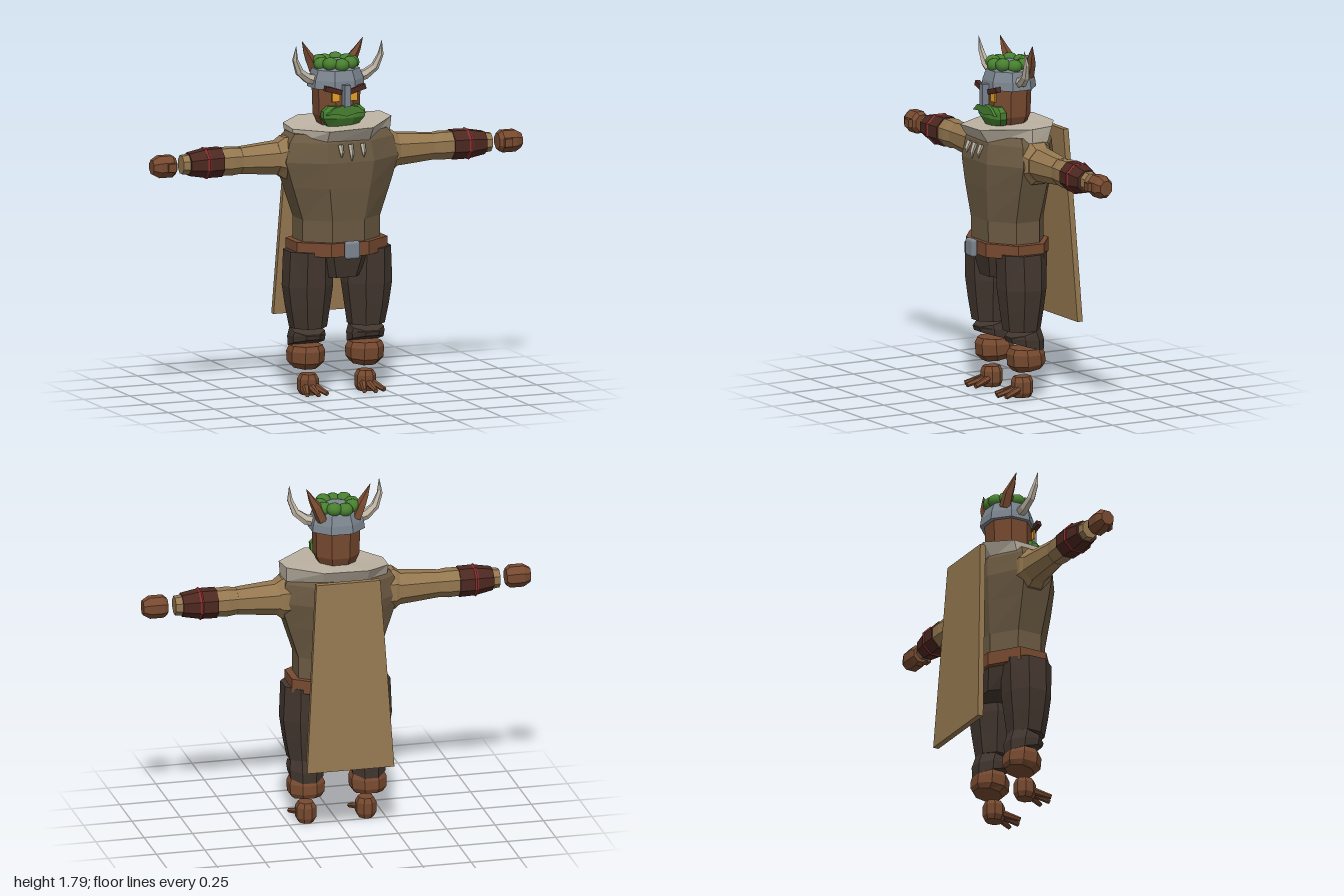
import * as THREE from 'three';
import { RoundedBoxGeometry } from 'three/addons/geometries/RoundedBoxGeometry.js';

const V = (x, y, z) => new THREE.Vector3(x, y, z);

// Flat-faced skin over a stack of rings, closed at both ends
function loft(rings) {
  const p = [];
  const tri = (...vs) => vs.forEach(v => p.push(v.x, v.y, v.z));
  const n = rings[0].length;
  const mid = r => r.reduce((s, v) => s.add(v), V(0, 0, 0)).divideScalar(n);
  const lo = rings[0], hi = rings[rings.length - 1], cl = mid(lo), ch = mid(hi);
  for (let j = 0; j < n; j++) {
    const k = (j + 1) % n;
    for (let i = 0; i < rings.length - 1; i++) {
      const a = rings[i], b = rings[i + 1];
      tri(a[j], b[j], a[k]);
      tri(a[k], b[j], b[k]);
    }
    tri(cl, lo[j], lo[k]);
    tri(ch, hi[k], hi[j]);
  }
  const g = new THREE.BufferGeometry();
  g.setAttribute('position', new THREE.Float32BufferAttribute(p, 3));
  g.computeVertexNormals();
  return g;
}

// Octagonal ring: height, half width, back z, front z, centre x, slope of y along z
function ring(y, hx, zb, zf, cx = 0, slope = 0) {
  const c = (zb + zf) / 2, h = (zf - zb) / 2, k = 1 / Math.cos(Math.PI / 8);
  return Array.from({ length: 8 }, (_, i) => {
    const a = (i + 0.5) * Math.PI / 4, dz = h * k * Math.sin(a);
    return V(cx + hx * k * Math.cos(a), y + slope * dz, c + dz);
  });
}
const stack = rows => loft(rows.map(r => ring(...r)));

// Tapered sweep along points [x, y, z, radius]
function sweep(pts, n = 6) {
  const c = pts.map(p => V(p[0], p[1], p[2]));
  return loft(c.map((o, i) => {
    const t = c[Math.min(i + 1, c.length - 1)].clone().sub(c[Math.max(i - 1, 0)]).normalize();
    const u = Math.abs(t.z) < 0.8 ? V(0, 0, 1) : V(1, 0, 0);
    u.addScaledVector(t, -u.dot(t)).normalize();
    const v = u.clone().cross(t);
    return Array.from({ length: n }, (_, j) => {
      const a = j / n * Math.PI * 2, r = pts[i][3];
      return o.clone().addScaledVector(u, r * Math.cos(a)).addScaledVector(v, r * Math.sin(a));
    });
  }));
}

export function createModel() {
  const mat = (name, color) => {
    const m = new THREE.MeshStandardMaterial({ color });
    m.name = name;
    return m;
  };
  const tunic = mat('tunic brown', 0x6b5a42), tan = mat('tan cloth', 0x957850);
  const trousers = mat('dark trousers', 0x43372f), skin = mat('brown skin and leather', 0x774a30);
  const dark = mat('dark leather', 0x4c2820), red = mat('red band', 0x8c2f30);
  const ivory = mat('ivory', 0xbdb3a3), metal = mat('grey metal', 0x7c858f);
  const green = mat('leaf green', 0x488030), amber = mat('amber', 0xe5a024);

  const model = new THREE.Group();
  const add = (parent, name, geo, material, x = 0, y = 0, z = 0) => {
    const m = new THREE.Mesh(geo, material);
    m.name = name;
    m.position.set(x, y, z);
    parent.add(m);
    return m;
  };

  // Body
  add(model, 'torso', stack([
    [0.75, 0.21, -0.12, 0.195], [0.9, 0.21, -0.12, 0.2], [1.07, 0.265, -0.14, 0.22],
    [1.2, 0.305, -0.155, 0.23], [1.3, 0.28, -0.15, 0.215], [1.34, 0.25, -0.12, 0.19]]), tunic);
  add(model, 'belt', stack([[0.72, 0.245, -0.14, 0.22], [0.79, 0.245, -0.14, 0.22]]), skin);
  add(model, 'buckle', new RoundedBoxGeometry(0.08, 0.092, 0.034, 2, 0.015), metal, 0, 0.757, 0.246);
  add(model, 'hips', stack([[0.605, 0.125, -0.11, 0.168], [0.74, 0.2, -0.125, 0.197]]), trousers);

  // Uneven flared collar: [x, z, rim height]
  const rim = [[0.29, 0.06, 1.39], [0.11, 0.26, 1.375], [-0.12, 0.245, 1.365], [-0.25, 0.07, 1.36],
    [-0.245, -0.07, 1.37], [-0.12, -0.175, 1.385], [0.11, -0.165, 1.385], [0.28, -0.06, 1.395]];
  add(model, 'collar', loft([
    rim.map(([x, z, y]) => V(x * 0.98, y - 0.08, 0.03 + (z - 0.03) * 0.76)),
    rim.map(([x, z, y]) => V(x, y, z))]), ivory);
  for (const [x, len] of [[-0.055, 0.06], [0, 0.08], [0.065, 0.065]]) {
    add(model, 'fang', sweep([[x, 1.29, 0.225, 0.014], [x, 1.29 - len * 0.6, 0.242, 0.011],
      [x, 1.29 - len, 0.242, 0.002]], 5), ivory);
  }

  // Cape: slanted slab, wider at the hem
  const capeRing = (y, hx, z) => [V(hx, y, z), V(-hx, y, z), V(-hx, y, z - 0.03), V(hx, y, z - 0.03)];
  add(model, 'cape', loft([capeRing(0.365, 0.225, -0.238), capeRing(1.345, 0.165, -0.19)]), tan);

  // Head and helmet
  const head = new THREE.Group();
  head.name = 'head';
  model.add(head);
  add(head, 'skull', stack([[1.35, 0.08, -0.04, 0.11], [1.42, 0.11, -0.068, 0.142],
    [1.6, 0.115, -0.075, 0.145]]), skin);
  add(head, 'helmet', stack([[1.558, 0.135, -0.095, 0.155], [1.6, 0.13, -0.09, 0.152],
    [1.65, 0.112, -0.072, 0.135], [1.685, 0.06, -0.025, 0.085], [1.695, 0.03, 0, 0.06]]), metal);
  add(head, 'noseGuard', new THREE.BoxGeometry(0.032, 0.11, 0.036), metal, 0, 1.53, 0.172);
  add(head, 'beard', stack([[1.37, 0.08, 0.07, 0.145], [1.415, 0.113, 0.08, 0.168],
    [1.45, 0.113, 0.085, 0.166], [1.475, 0.085, 0.1, 0.158]]), green);
  const lip = new THREE.Shape([[0, 1.485], [-0.065, 1.47], [-0.108, 1.435], [-0.06, 1.44], [0, 1.425],
    [0.06, 1.44], [0.108, 1.435], [0.065, 1.47]].map(p => new THREE.Vector2(...p)));
  add(head, 'moustache', new THREE.ExtrudeGeometry(lip, { depth: 0.016, bevelEnabled: false }),
    green, 0, 0, 0.16);

  // Leaf wreath
  for (let i = 0; i < 9; i++) {
    const a = i / 9 * Math.PI * 2 + 0.2;
    const leaf = add(head, 'leaf', new THREE.IcosahedronGeometry(0.038, 1), green,
      0.083 * Math.cos(a), 1.675 + 0.006 * (i % 2), 0.028 + 0.083 * Math.sin(a));
    leaf.scale.set(1.05, 0.92, 1.05);
  }

  // Everything paired: built on the left, mirrored to the right
  for (const s of [1, -1]) {
    const half = new THREE.Group();
    half.name = s > 0 ? 'leftSide' : 'rightSide';
    half.scale.x = s;
    model.add(half);

    add(half, 'eye', new THREE.BoxGeometry(0.042, 0.05, 0.008), amber, 0.048, 1.524, 0.148);
    add(half, 'brow', new THREE.BoxGeometry(0.09, 0.026, 0.026), dark, 0.065, 1.558, 0.152).rotation.z = 0.28;
    add(half, 'horn', sweep([[0.1, 1.595, 0.035, 0.03], [0.155, 1.607, 0.04, 0.027],
      [0.205, 1.645, 0.05, 0.022], [0.232, 1.71, 0.06, 0.015], [0.232, 1.78, 0.073, 0.001]]), ivory);
    add(half, 'ear', sweep([[0.085, 1.62, -0.03, 0.032], [0.115, 1.69, -0.028, 0.028],
      [0.138, 1.73, -0.02, 0.018], [0.165, 1.787, -0.012, 0.001]], 5), skin);

    // Arm pieces: rows of [x, half height, back z, front z]
    const arm = new THREE.Group();
    arm.name = 'arm';
    arm.position.y = 1.213;
    half.add(arm);
    const tube = (name, rows, m) => add(arm, name, stack(rows).rotateZ(-Math.PI / 2), m);
    tube('shoulder', [[0.22, 0.105, -0.065, 0.115], [0.29, 0.105, -0.065, 0.115], [0.325, 0.08, -0.05, 0.1]], tan);
    tube('upperArm', [[0.28, 0.085, -0.06, 0.1], [0.4, 0.076, -0.048, 0.09], [0.52, 0.066, -0.036, 0.08]], tan);
    tube('forearm', [[0.515, 0.064, -0.034, 0.078], [0.57, 0.07, -0.042, 0.085], [0.64, 0.067, -0.04, 0.085],
      [0.8, 0.05, -0.018, 0.072], [0.838, 0.046, -0.014, 0.068]], tan);
    tube('bracer', [[0.625, 0.073, -0.048, 0.092], [0.71, 0.072, -0.045, 0.098], [0.802, 0.056, -0.028, 0.086]], dark);
    tube('hand', [[0.875, 0.04, -0.005, 0.07], [0.895, 0.055, -0.014, 0.084], [0.965, 0.055, -0.014, 0.084],
      [1, 0.036, 0.002, 0.068]], skin);
    add(arm, 'thumb', new THREE.BoxGeometry(0.042, 0.042, 0.04), skin, 0.912, 0, 0.083);
    add(arm, 'bracerBand', new THREE.TorusGeometry(0.075, 0.009, 5, 8).rotateZ(Math.PI / 8).rotateY(Math.PI / 2)
      .toNonIndexed(), red, 0.71, 0, 0.026).geometry.computeVertexNormals();

    // Leg, boot and clawed foot
    add(half, 'thigh', stack([[0.345, 0.088, -0.042, 0.135, 0.157], [0.45, 0.105, -0.055, 0.15, 0.16],
      [0.56, 0.12, -0.068, 0.163, 0.16], [0.74, 0.112, -0.072, 0.168, 0.16]]), trousers);
    add(half, 'shin', stack([[0.26, 0.084, -0.06, 0.12, 0.16, 0.3], [0.3, 0.088, -0.062, 0.128, 0.16, 0.1],
      [0.335, 0.082, -0.04, 0.125, 0.16, -0.25]]), trousers);
    add(half, 'bootCuff', stack([[0.143, 0.068, -0.06, 0.08, 0.16, -0.16], [0.17, 0.088, -0.07, 0.11, 0.16, -0.08],
      [0.222, 0.09, -0.066, 0.115, 0.16], [0.25, 0.078, -0.052, 0.103, 0.16]]), skin);
    add(half, 'foot', stack([[0, 0.036, 0, 0.085, 0.155], [0.025, 0.05, -0.01, 0.095, 0.155],
      [0.08, 0.05, -0.01, 0.095, 0.155], [0.105, 0.036, 0, 0.085, 0.155]]), skin);
    for (const d of [-1, 0, 1]) {
      add(half, 'toe', sweep([[0.155 + d * 0.02, 0.048, 0.06, 0.02],
        [0.155 + d * 0.054, 0.018, d ? 0.165 : 0.185, 0.012]]), skin);
    }
  }
  return model;
}
